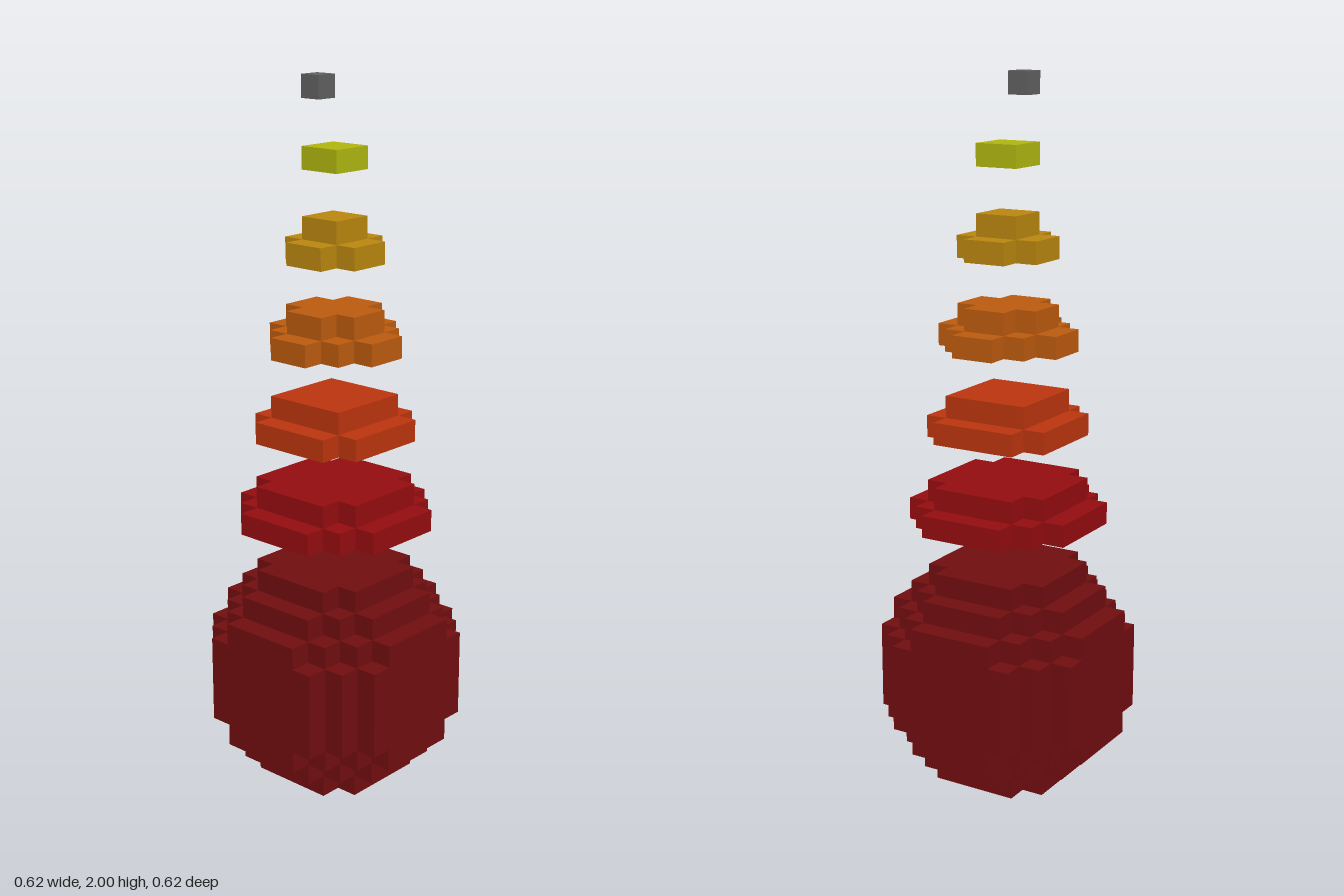
import * as THREE from 'three';

const U = 0.0625; // size of one block

const paint = (name, hex) => {
  const m = new THREE.MeshStandardMaterial({ color: hex });
  m.name = name;
  return m;
};

// Each face: outward normal, then two edge directions with u x v = normal
const FACES = [
  [[1, 0, 0], [0, 1, 0], [0, 0, 1]], [[-1, 0, 0], [0, 0, 1], [0, 1, 0]],
  [[0, 1, 0], [0, 0, 1], [1, 0, 0]], [[0, -1, 0], [1, 0, 0], [0, 0, 1]],
  [[0, 0, 1], [1, 0, 0], [0, 1, 0]], [[0, 0, -1], [0, 1, 0], [1, 0, 0]],
];

// Skin of the blocks for which filled(x, y, z) holds, without inner faces
function blockGeometry(filled, height) {
  const pos = [], nor = [], idx = [];
  for (let x = -5; x < 5; x++) for (let y = 0; y < height; y++) for (let z = -5; z < 5; z++) {
    if (!filled(x, y, z)) continue;
    for (const [n, u, v] of FACES) {
      if (filled(x + n[0], y + n[1], z + n[2])) continue;
      const base = pos.length / 3;
      for (const [a, b] of [[0, 0], [1, 0], [1, 1], [0, 1]]) {
        [x, y, z].forEach((c, i) => pos.push((c + Math.max(n[i], 0) + a * u[i] + b * v[i]) * U));
        nor.push(...n);
      }
      idx.push(base, base + 1, base + 2, base, base + 2, base + 3);
    }
  }
  const g = new THREE.BufferGeometry();
  g.setAttribute('position', new THREE.Float32BufferAttribute(pos, 3));
  g.setAttribute('normal', new THREE.Float32BufferAttribute(nor, 3));
  g.setIndex(idx);
  return g;
}

// Half widths by distance of the row from the middle, mirrored in x and z
const inRows = (rows, x, z) => Math.abs(x + 0.5) < (rows[Math.floor(Math.abs(z + 0.5))] ?? 0);

// Stepped cap: one footprint per layer, with an optional hollow in the lowest
const cap = (layers, hollow = []) => (x, y, z) =>
  y >= 0 && y < layers.length && inRows(layers[y], x, z) && !(y === 0 && inRows(hollow, x, z));

const ball = (x, y, z) => (x + 0.5) ** 2 + (y - 4.5) ** 2 + (z + 0.5) ** 2 < 30.25;

export function createModel() {
  const group = new THREE.Group();
  group.name = 'blockTower';

  // name, filled rule, height and base in blocks, material
  const parts = [
    ['ball', ball, 10, 0, paint('dark red', 0x700d0f)],
    ['largeCap', cap([[4, 4, 3, 2], [3, 3, 2]], [3, 3, 2]), 2, 12, paint('red', 0x940c0f)],
    ['wideCap', cap([[3, 3, 2], [2, 2]], [2, 2]), 2, 16, paint('red orange', 0xbb340e)],
    ['middleCap', cap([[3, 2, 1], [2, 1]]), 2, 20, paint('orange', 0xbb5a0d)],
    ['smallCap', cap([[2, 1], [1]]), 2, 24, paint('gold', 0xb9860f)],
    ['plate', cap([[1]]), 1, 28, paint('yellow green', 0xafb60f)],
    ['tip', (x, y, z) => x === -1 && y === 0 && z === 0, 1, 31, paint('grey', 0x606060)],
  ];
  for (const [name, filled, height, base, material] of parts) {
    const mesh = new THREE.Mesh(blockGeometry(filled, height), material);
    mesh.name = name;
    mesh.position.y = base * U;
    group.add(mesh);
  }
  return group;
}
